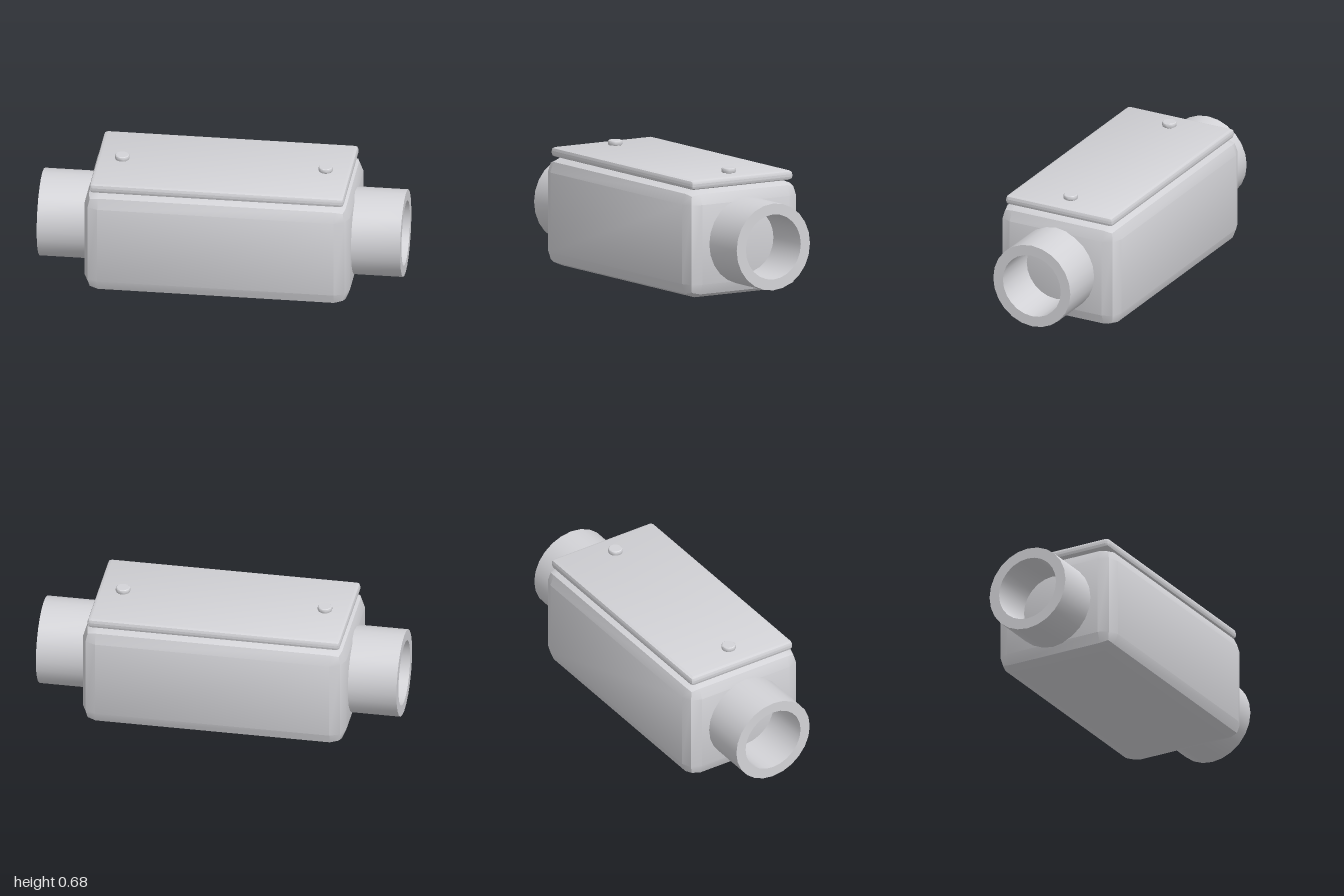
import * as THREE from 'three';
import { RoundedBoxGeometry } from 'three/addons/geometries/RoundedBoxGeometry.js';
import { toCreasedNormals } from 'three/addons/utils/BufferGeometryUtils.js';

const CREASE = Math.PI / 6;

export function createModel() {
  const model = new THREE.Group();
  model.name = 'conduitBox';
  const metal = new THREE.MeshStandardMaterial({ color: 0xd3d3d7 });
  metal.name = 'light grey metal';

  const add = (name, geometry, x, y) => {
    const mesh = new THREE.Mesh(toCreasedNormals(geometry, CREASE), metal);
    mesh.name = name;
    mesh.position.set(x, y, 0);
    model.add(mesh);
    return mesh;
  };
  const lathe = (profile) =>
    new THREE.LatheGeometry(profile.map(([r, y]) => new THREE.Vector2(r, y)), 24);

  // Box with bevelled edges, and the thin cover on top
  add('body', new RoundedBoxGeometry(1.46, 0.6, 0.732, 1, 0.08), 0, 0.3);
  add('lid', new RoundedBoxGeometry(1.4, 0.053, 0.666, 1, 0.02), 0, 0.6265);

  for (const side of [-1, 1]) {
    const prefix = side > 0 ? 'left' : 'right';

    // Hollow pipe socket, open at the outer end and closed by the body inside
    const pipe = add(prefix + 'Pipe',
      lathe([[0.24, 0.7], [0.24, 1], [0.18, 1], [0.18, 0.7]]), 0, 0.3);
    pipe.rotation.z = -side * Math.PI / 2;

    // Screw head with softened rims
    add(prefix + 'Screw', lathe([[0.034, 0], [0.038, 0.003], [0.04, 0.009],
      [0.04, 0.019], [0.038, 0.025], [0.034, 0.028], [0, 0.028]]), side * 0.56, 0.652);
  }
  return model;
}
